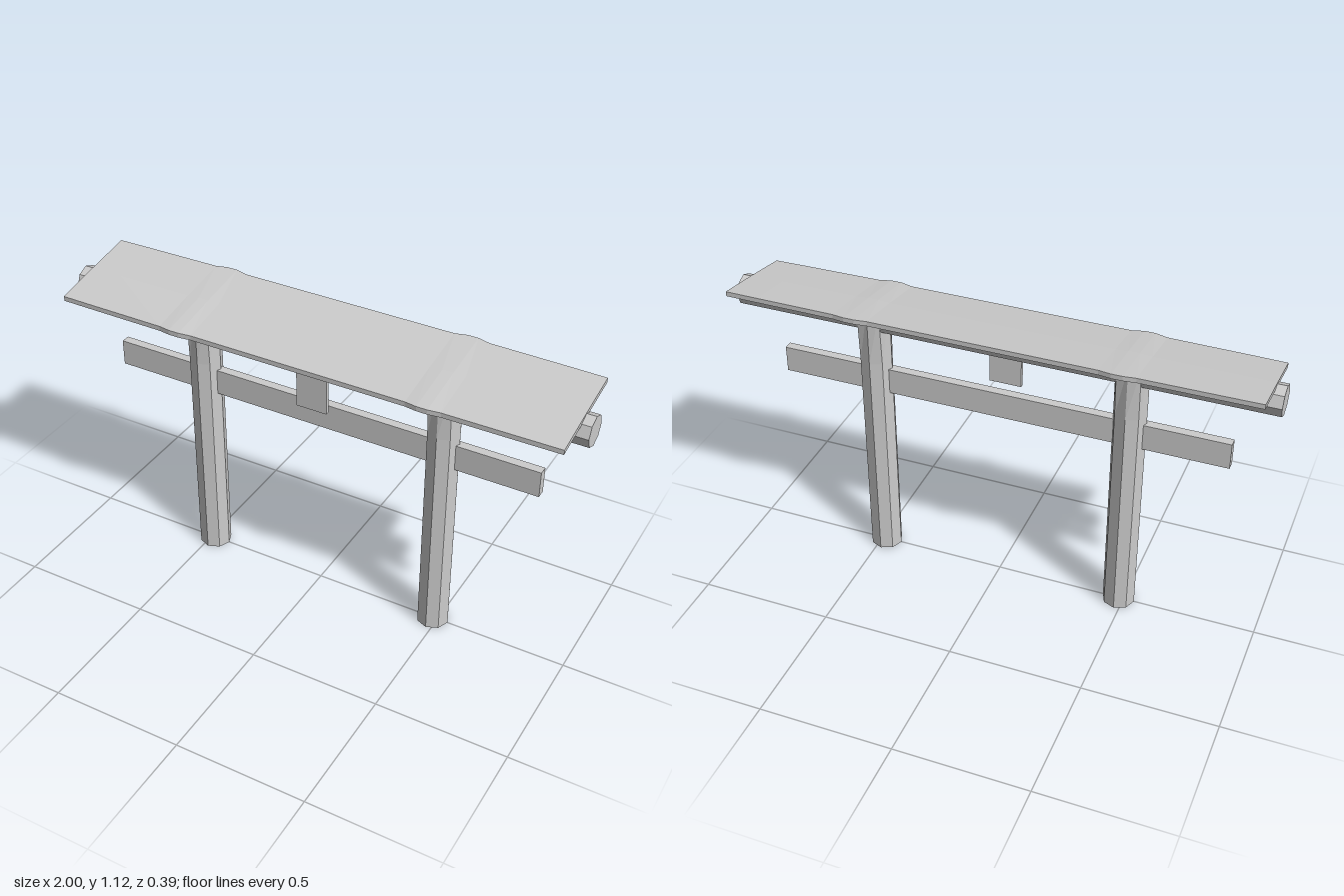
import * as THREE from 'three';

const material = new THREE.MeshStandardMaterial({ color: 0xcccccc, flatShading: true, side: THREE.DoubleSide });

function add(group, name, geometry, x, y, z) {
  const mesh = new THREE.Mesh(geometry, material);
  mesh.name = name;
  mesh.position.set(x, y, z);
  group.add(mesh);
  return mesh;
}

// Octagonal post whose diagonal edges spread slightly near the top
function postGeometry() {
  const height = 1.07;
  const geo = new THREE.CylinderGeometry(0.061, 0.061, height, 8, 5);
  geo.translate(0, height / 2, 0);
  const p = geo.attributes.position;
  for (let i = 0; i < p.count; i++) {
    const x = p.getX(i), z = p.getZ(i);
    if (p.getY(i) > 1 && Math.abs(x) > 0.02 && Math.abs(z) > 0.02) p.setZ(i, z * 1.22);
  }
  geo.computeVertexNormals();
  return geo;
}

// Thin tilted roof board, bulging where it rests on the posts
function roofGeometry() {
  const thick = 0.018;
  const half = [[0.965, 0], [0.84, 0.002], [0.545, 0.005], [0.5, 0.014], [0.46, 0.014], [0.415, 0.005]];
  const stations = [...half.map(([x, b]) => [-x, b]), ...half.slice().reverse()];
  const pos = [], idx = [];
  for (const [x, b] of stations) {
    const lift = b * 0.25;
    const top = [[0.179 + b, 1.059 + lift], [0, 1.091 + lift], [-0.183 - b, 1.12 + lift]];
    for (const [z, y] of top) pos.push(x, y, z);
    for (const [z, y] of top.reverse()) pos.push(x, y - thick, z);
  }
  const n = 6, last = (stations.length - 1) * n;
  for (let s = 0; s < last; s += n) {
    for (let k = 0; k < n; k++) {
      const a = s + k, b = s + (k + 1) % n;
      idx.push(a, a + n, b, b, a + n, b + n);
    }
  }
  // end caps
  for (const [a, b, c, d] of [[0, 1, 4, 5], [1, 2, 3, 4]]) {
    idx.push(a, b, c, a, c, d);
    idx.push(last + a, last + c, last + b, last + a, last + d, last + c);
  }
  const geo = new THREE.BufferGeometry();
  geo.setAttribute('position', new THREE.Float32BufferAttribute(pos, 3));
  geo.setIndex(idx);
  const flat = geo.toNonIndexed();
  flat.computeVertexNormals();
  return flat;
}

export function createModel() {
  const group = new THREE.Group();
  group.name = 'gate';

  // Two posts
  for (const side of [1, -1]) {
    add(group, side > 0 ? 'leftPost' : 'rightPost', postGeometry(), side * 0.48, 0, 0);
  }

  // Round-log lintel, eight sided
  const log = new THREE.CylinderGeometry(0.057, 0.057, 2, 8);
  log.rotateZ(Math.PI / 2);
  add(group, 'lintelLog', log, 0, 1.031, -0.003);

  // Tie beam passing through the posts
  add(group, 'tieBeam', new THREE.BoxGeometry(1.69, 0.1, 0.034), 0, 0.77, 0);

  // Hanging plaque at the front
  add(group, 'plaque', new THREE.BoxGeometry(0.12, 0.215, 0.016), 0, 0.9275, 0.06);

  // Roof board
  add(group, 'roofBoard', roofGeometry(), 0, 0, 0);

  return group;
}
